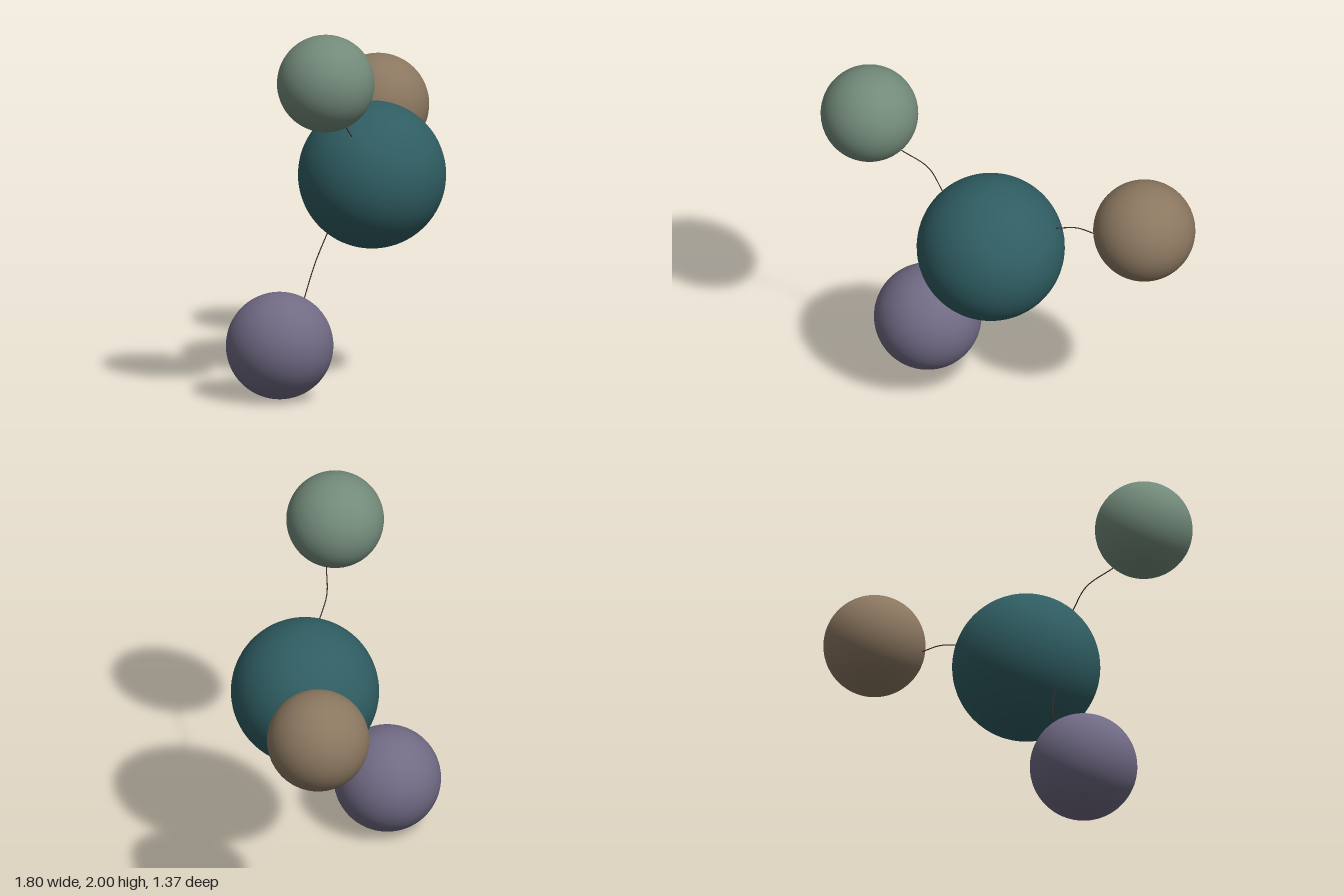
import * as THREE from 'three';

const material = (name, color) => {
  const m = new THREE.MeshStandardMaterial({ color });
  m.name = name;
  return m;
};

export function createModel() {
  const group = new THREE.Group();
  const teal = material('teal', 0x2f5d62);
  const green = material('sage green', 0x728a7a);
  const brown = material('warm brown', 0x8b7760);
  const purple = material('dusty purple', 0x706a84);
  const dark = material('dark thread', 0x3a2c2a);

  // Smooth balls: one large core and three satellites
  const addBall = (name, mat, radius, position) => {
    const ball = new THREE.Mesh(new THREE.SphereGeometry(radius, 64, 48), mat);
    ball.name = name;
    ball.position.set(...position);
    group.add(ball);
  };
  addBall('coreBall', teal, 0.39, [0.015, 1.12, 0.13]);
  addBall('upperBall', green, 0.257, [-0.645, 1.743, 0.425]);
  addBall('sideBall', brown, 0.269, [0.63, 1.335, -0.415]);
  addBall('lowerBall', purple, 0.283, [-0.615, 0.283, 0.06]);

  // Thin curved threads from the core to each satellite
  const addThread = (name, ...points) => {
    const curve = new THREE.CatmullRomCurve3(points.map((p) => new THREE.Vector3(...p)));
    const thread = new THREE.Mesh(new THREE.TubeGeometry(curve, 24, 0.003, 8), dark);
    thread.name = name;
    group.add(thread);
  };
  addThread('upperThread', [-0.25, 1.37, 0.24], [-0.35, 1.482, 0.26], [-0.467, 1.57, 0.35]);
  addThread('sideThread', [0.28, 1.29, -0.1], [0.345, 1.29, -0.188], [0.434, 1.27, -0.25]);
  addThread('lowerThread', [-0.283, 0.88, 0.11], [-0.337, 0.69, 0.055], [-0.44, 0.513, 0.072]);

  return group;
}
